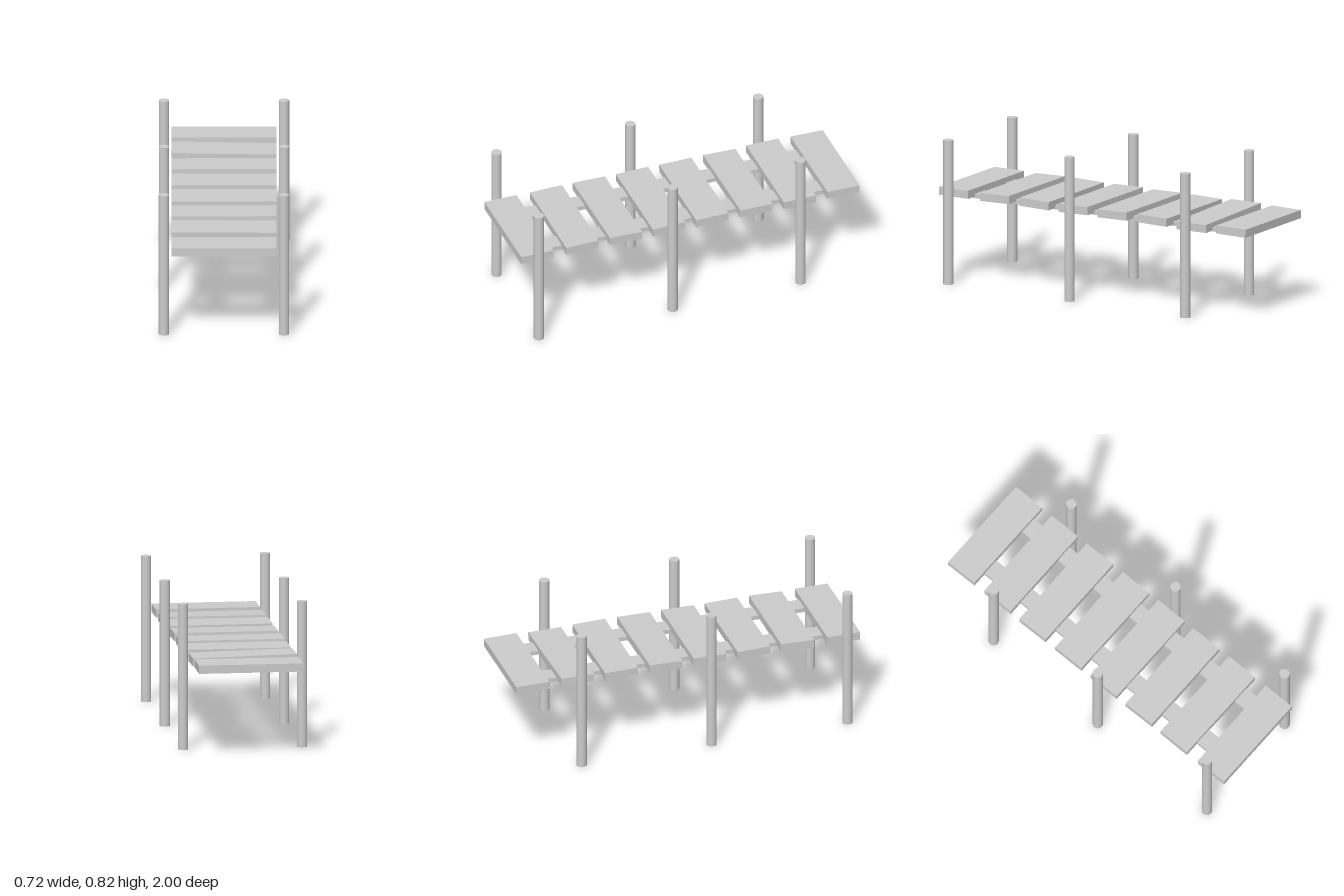
import * as THREE from 'three';

export function createModel() {
  const model = new THREE.Group();
  model.name = 'footbridge';
  const wood = new THREE.MeshStandardMaterial({ color: 0xcccccc });

  function add(name, geometry, x, y, z) {
    const mesh = new THREE.Mesh(geometry, wood);
    mesh.name = name;
    mesh.position.set(x, y, z);
    model.add(mesh);
    return mesh;
  }

  // Deck planks, each a little crooked: [z, pitch, yaw, roll]
  const plankGeometry = new THREE.BoxGeometry(0.58, 0.046, 0.19);
  const planks = [
    [-0.905, -0.015, 0, 0],
    [-0.645, 0, 0.008, -0.02],
    [-0.39, -0.02, 0.003, 0.002],
    [-0.13, 0.015, 0, 0],
    [0.125, 0.02, 0, 0],
    [0.38, -0.02, 0.004, 0],
    [0.635, 0.025, -0.004, 0],
    [0.903, 0, 0, 0],
  ];
  for (const [z, pitch, yaw, roll] of planks) {
    add('plank', plankGeometry, 0, 0.509, z).rotation.set(pitch, yaw, roll);
  }

  // Two flat beams under the planks
  const beamGeometry = new THREE.BoxGeometry(0.1, 0.025, 1.905);
  for (const x of [-0.152, 0.168]) add('beam', beamGeometry, x, 0.4885, 0.0175);

  // Three pairs of round posts
  const postHeight = 0.817;
  const postGeometry = new THREE.CylinderGeometry(0.0285, 0.0285, postHeight, 32);
  for (const z of [-0.635, 0.12, 0.91]) {
    for (const side of [-1, 1]) add('post', postGeometry, side * 0.332, postHeight / 2, z);
  }

  return model;
}
